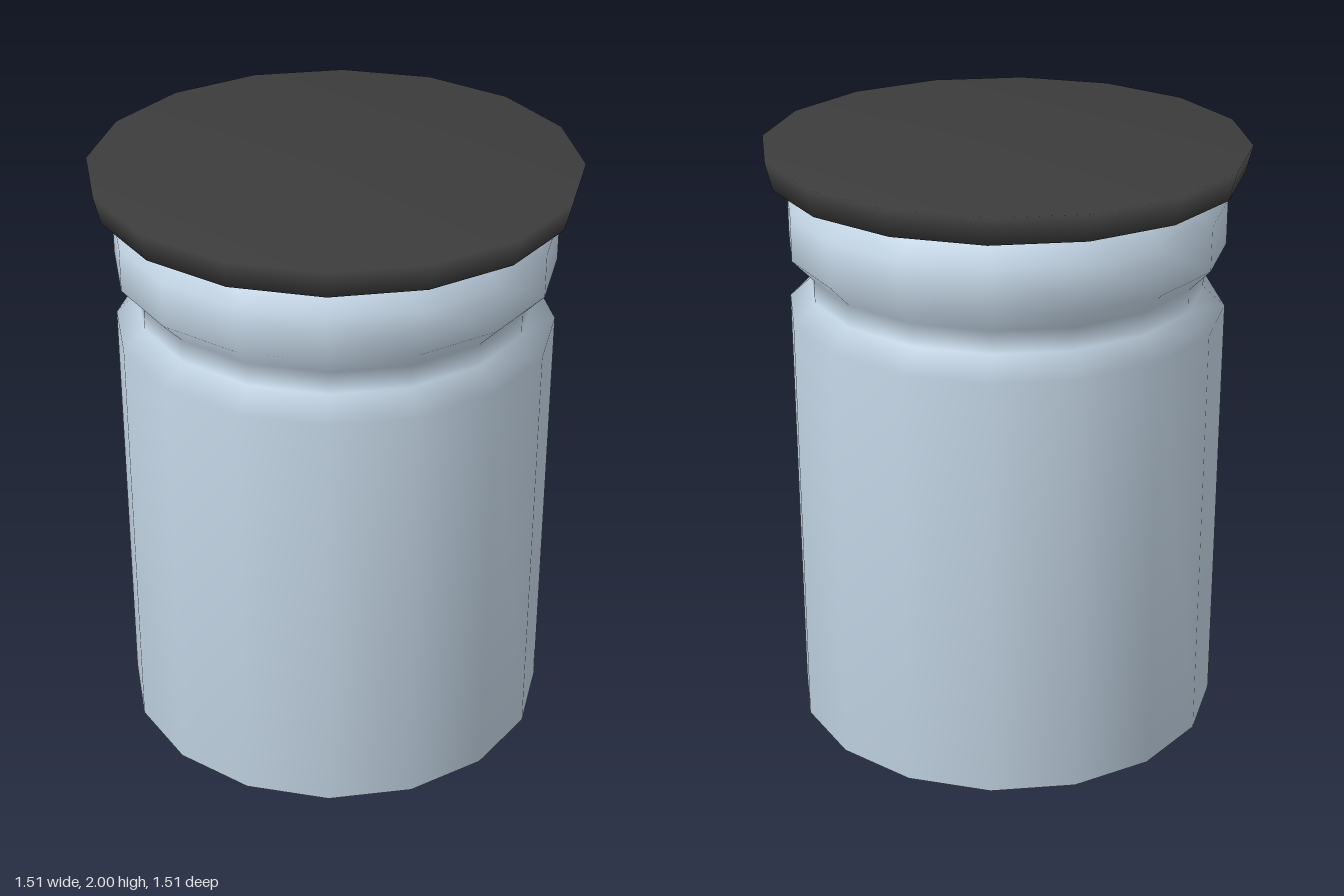
import * as THREE from 'three';

const SIDES = 16;

// Turned part with smooth normals, from [radius, height] points listed bottom to top
function turned(name, profile, color) {
  const points = profile.map(([r, y]) => new THREE.Vector2(r, y));
  const mesh = new THREE.Mesh(
    new THREE.LatheGeometry(points, SIDES),
    new THREE.MeshStandardMaterial({ color })
  );
  mesh.name = name;
  return mesh;
}

export function createModel() {
  const group = new THREE.Group();
  group.name = 'jar';

  // Jar body: flat base, bevelled foot, straight wall, pinched neck and rounded collar
  group.add(turned('jarBody', [
    [0, 0], [0.555, 0], [0.69, 0.09], [0.69, 1.477],
    [0.62, 1.54], [0.62, 1.613], [0.687, 1.683], [0.687, 1.823], [0.62, 1.897],
  ], 0xc4d6e6));

  // Lid: closed underside, short flared rim and flat top
  group.add(turned('lid', [
    [0, 1.895], [0.62, 1.895], [0.736, 1.913], [0.757, 2], [0, 2],
  ], 0x3c3c3c));

  return group;
}
